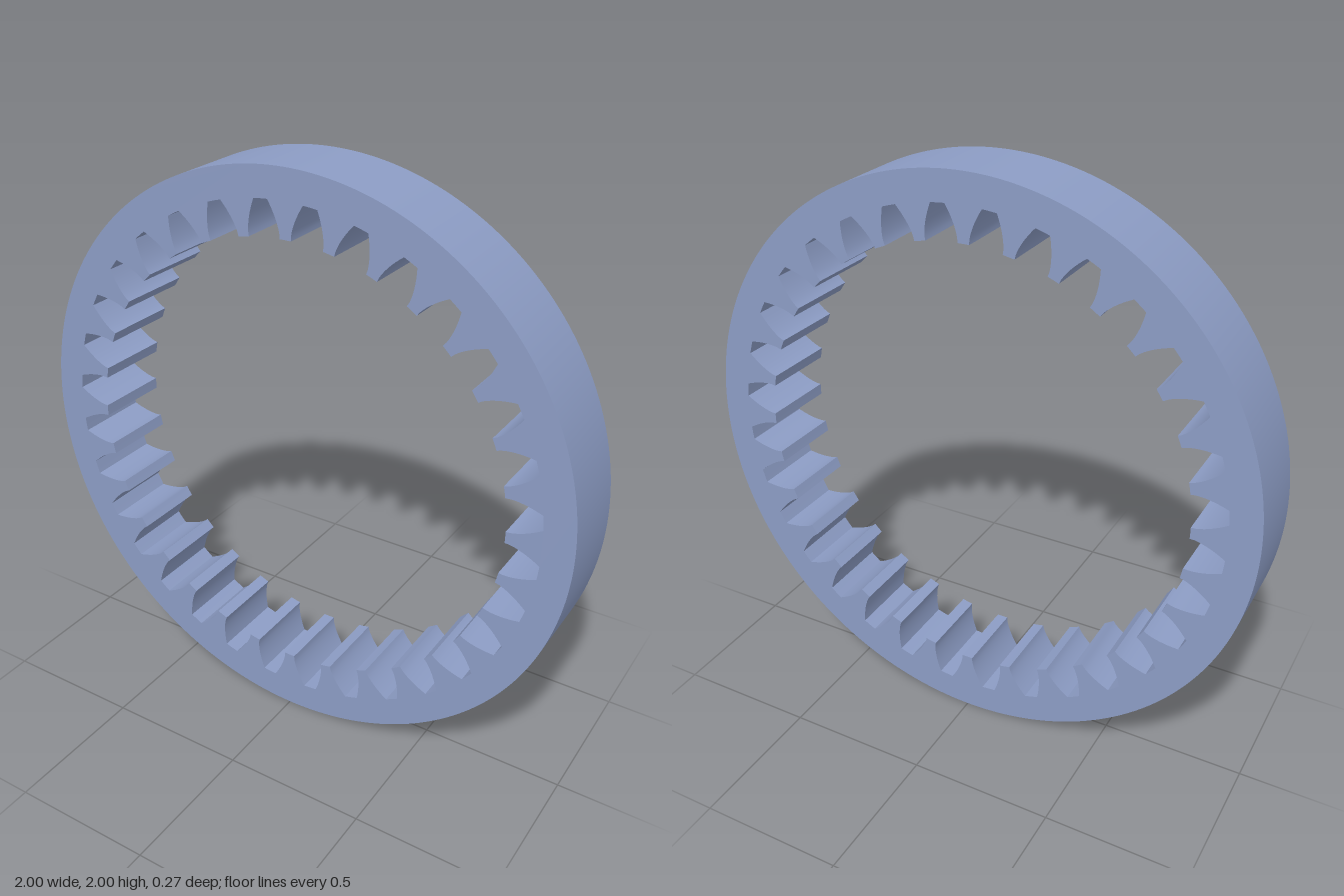
import * as THREE from 'three';
import { toCreasedNormals } from 'three/addons/utils/BufferGeometryUtils.js';

const TEETH = 32;
const OUTER = 1, TIP = 0.78, ROOT = 0.898, BASE = 0.79;
const DEPTH = 0.274;
const GAP_HALF = 0.0726; // half angle of a tooth gap at its mouth

// Half angle of a gap at radius r, following an involute flank
function gapHalfAngle(r) {
  if (r <= BASE) return GAP_HALF;
  const a = Math.acos(BASE / r);
  return GAP_HALF - (Math.tan(a) - a);
}

const polar = (r, a) => new THREE.Vector2(r * Math.sin(a), r * Math.cos(a));

// Inner outline: tooth gaps separated by inward-pointing teeth
function toothedOutline() {
  const pts = [];
  const pitch = (2 * Math.PI) / TEETH;
  const steps = 8;
  for (let i = 0; i < TEETH; i++) {
    const mid = (i + 0.5) * pitch;
    for (let s = 0; s <= steps; s++) {
      const r = TIP + ((ROOT - TIP) * s) / steps;
      pts.push(polar(r, mid - gapHalfAngle(r)));
    }
    pts.push(polar(ROOT, mid));
    for (let s = steps; s >= 0; s--) {
      const r = TIP + ((ROOT - TIP) * s) / steps;
      pts.push(polar(r, mid + gapHalfAngle(r)));
    }
    pts.push(polar(TIP, mid + pitch / 2)); // middle of the tooth tip
  }
  return pts;
}

export function createModel() {
  const group = new THREE.Group();
  group.name = 'internalRingGear';

  // Round rim with the toothed opening cut through it
  const shape = new THREE.Shape();
  shape.absarc(0, 0, OUTER, 0, Math.PI * 2, false);
  shape.holes.push(new THREE.Path(toothedOutline()));

  const extruded = new THREE.ExtrudeGeometry(shape, {
    depth: DEPTH, bevelEnabled: false, curveSegments: 128,
  });
  extruded.translate(0, OUTER, -DEPTH / 2);

  const ring = new THREE.Mesh(
    toCreasedNormals(extruded, Math.PI / 7),
    new THREE.MeshStandardMaterial({ color: 0x8c9cc4 })
  );
  ring.name = 'toothedRing';
  group.add(ring);
  return group;
}
